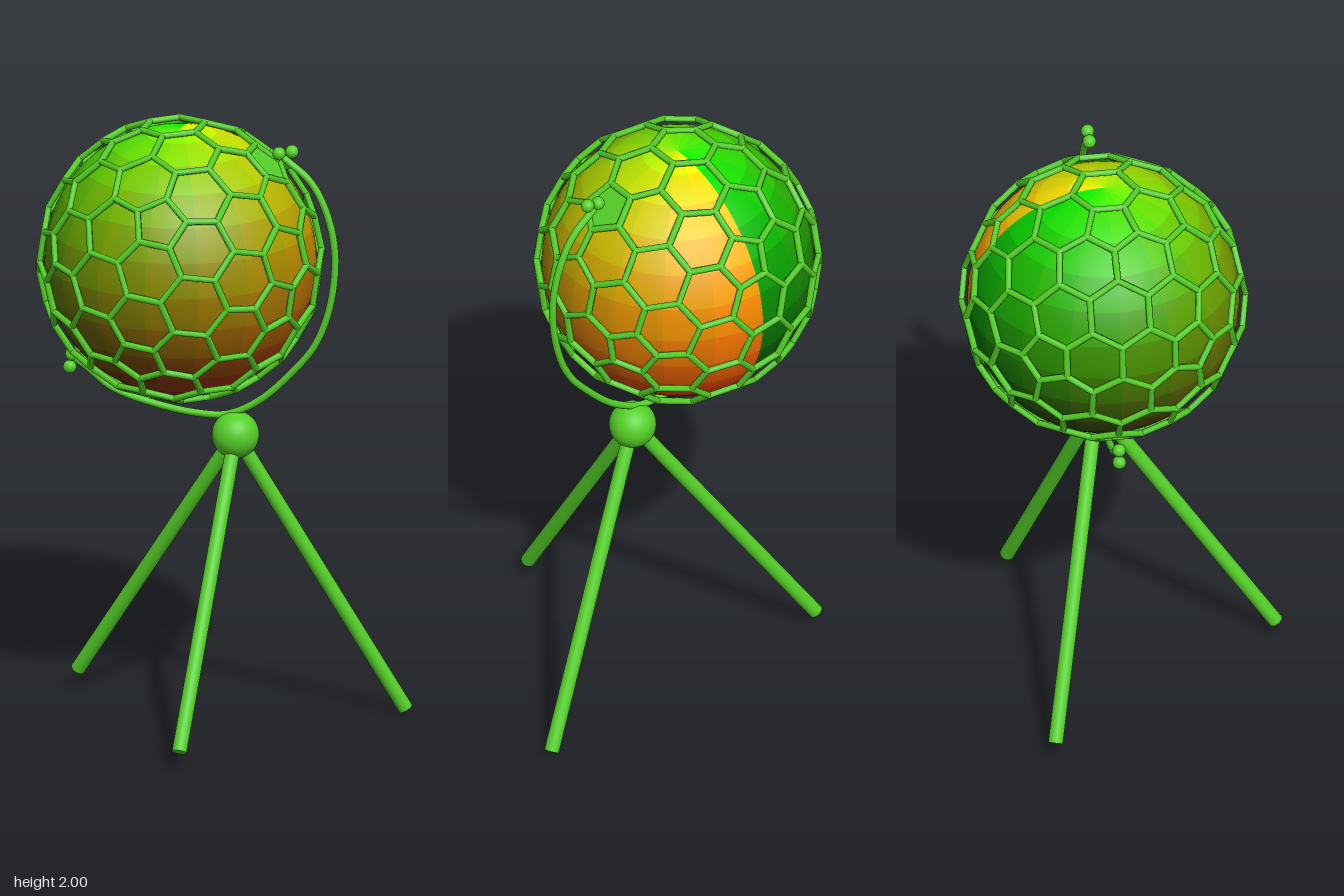
import * as THREE from 'three';
import { mergeGeometries } from 'three/addons/utils/BufferGeometryUtils.js';
import { ConvexGeometry } from 'three/addons/geometries/ConvexGeometry.js';

const V = (x, y, z) => new THREE.Vector3(x, y, z);
const paint = (color) => new THREE.MeshStandardMaterial({ color });
const GREEN = paint(0x55d028);
const CENTRE = V(-0.125, 1.54, -0.068);

function add(parent, name, geometry, material = GREEN) {
  const mesh = new THREE.Mesh(geometry, material);
  mesh.name = name;
  parent.add(mesh);
  return mesh;
}

// Round bar between two points
function bar(a, b, radius, sides) {
  const dir = b.clone().sub(a);
  const g = new THREE.CylinderGeometry(radius, radius, dir.length(), sides);
  g.applyQuaternion(new THREE.Quaternion().setFromUnitVectors(V(0, 1, 0), dir.normalize()));
  const mid = a.clone().add(b).multiplyScalar(0.5);
  return g.translate(mid.x, mid.y, mid.z);
}

function ball(p, radius, w = 24, h = 16) {
  return new THREE.SphereGeometry(radius, w, h).translate(p.x, p.y, p.z);
}

// Globe: patches shade to red around the axis and to green towards the top
function createGlobe() {
  const globe = new THREE.Group();
  globe.name = 'globe';
  const cols = 16, rows = 12;
  for (let i = 0; i < cols; i++) {
    for (let j = 0; j < rows; j++) {
      const g = new THREE.SphereGeometry(0.44, 4, 4,
        2 * Math.PI * i / cols - Math.PI / 2, 2 * Math.PI / cols,
        Math.PI * j / rows, Math.PI / rows);
      const color = new THREE.Color().setRGB(
        (i + 0.5) / cols, 1 - (j + 0.5) / rows, 0, THREE.SRGBColorSpace);
      add(globe, 'globePatch', g, paint(color));
    }
  }
  globe.position.copy(CENTRE);
  return globe;
}

// Cage: hexagons and twelve pentagons, the dual of a subdivided icosahedron
function createCage() {
  const cage = new THREE.Group();
  cage.name = 'cage';
  const R = 0.459, r = 0.011;
  const pos = new THREE.IcosahedronGeometry(1, 2).getAttribute('position');
  const key = (p) => p.toArray().map((n) => Math.round(n * 1000) + 0).join();
  const nodes = [], struts = [], open = new Map();
  for (let f = 0; f < pos.count; f += 3) {
    const tri = [0, 1, 2].map((k) => new THREE.Vector3().fromBufferAttribute(pos, f + k));
    const node = tri[0].clone().add(tri[1]).add(tri[2]).setLength(R);
    nodes.push(node);
    for (let k = 0; k < 3; k++) {
      const edge = [key(tri[k]), key(tri[(k + 1) % 3])].sort().join('|');
      if (open.has(edge)) struts.push(bar(open.get(edge), node, r, 6));
      else open.set(edge, node);
    }
  }
  add(cage, 'cageStruts', mergeGeometries(struts));
  add(cage, 'cageJoints', mergeGeometries(nodes.map((n) => ball(n, r, 8, 6))));

  // Solid pentagon plates at both ends of the tilted axis
  const pole = V(1, (1 + Math.sqrt(5)) / 2, 0).normalize();
  for (const s of [1, -1]) {
    const axis = pole.clone().multiplyScalar(s);
    const ring = nodes.filter((n) => n.angleTo(axis) < 0.3);
    const inner = ring.map((n) => n.clone().setLength(R - 0.012));
    add(cage, 'polePlate', new ConvexGeometry([...ring, ...inner]));
  }
  cage.rotation.z = -THREE.MathUtils.degToRad(8.3);
  cage.position.copy(CENTRE);
  return cage;
}

// Curved arm with a pair of small balls at each end
function createArm() {
  const arm = new THREE.Group();
  arm.name = 'arm';
  const path = [
    [0.22, 1.91], [0.31, 1.835], [0.365, 1.73], [0.392, 1.59], [0.375, 1.42],
    [0.325, 1.285], [0.246, 1.185], [0.14, 1.085], [0.034, 1.03], [-0.07, 1.025],
    [-0.23, 1.05], [-0.355, 1.09], [-0.435, 1.15], [-0.48, 1.18],
  ].map(([x, y]) => V(x, y, CENTRE.z));
  add(arm, 'armCurve', new THREE.TubeGeometry(new THREE.CatmullRomCurve3(path), 96, 0.012, 10));
  for (const [x, y] of [[0.205, 1.923], [0.248, 1.933], [-0.488, 1.19], [-0.495, 1.147]]) {
    add(arm, 'endBall', ball(V(x, y, CENTRE.z), 0.022, 16, 12));
  }
  return arm;
}

// Tripod: hub ball and three splayed legs
function createTripod() {
  const tripod = new THREE.Group();
  tripod.name = 'tripod';
  const hub = V(0.06, 0.963, -0.065);
  add(tripod, 'hub', ball(hub, 0.077, 32, 24));
  for (const foot of [V(-0.525, 0.06, -0.28), V(0.028, 0.06, 0.515), V(0.57, 0.012, -0.285)]) {
    add(tripod, 'leg', bar(hub, foot, 0.024, 20));
  }
  return tripod;
}

export function createModel() {
  const model = new THREE.Group();
  model.name = 'globeOnTripod';
  model.add(createGlobe(), createCage(), createArm(), createTripod());
  return model;
}
